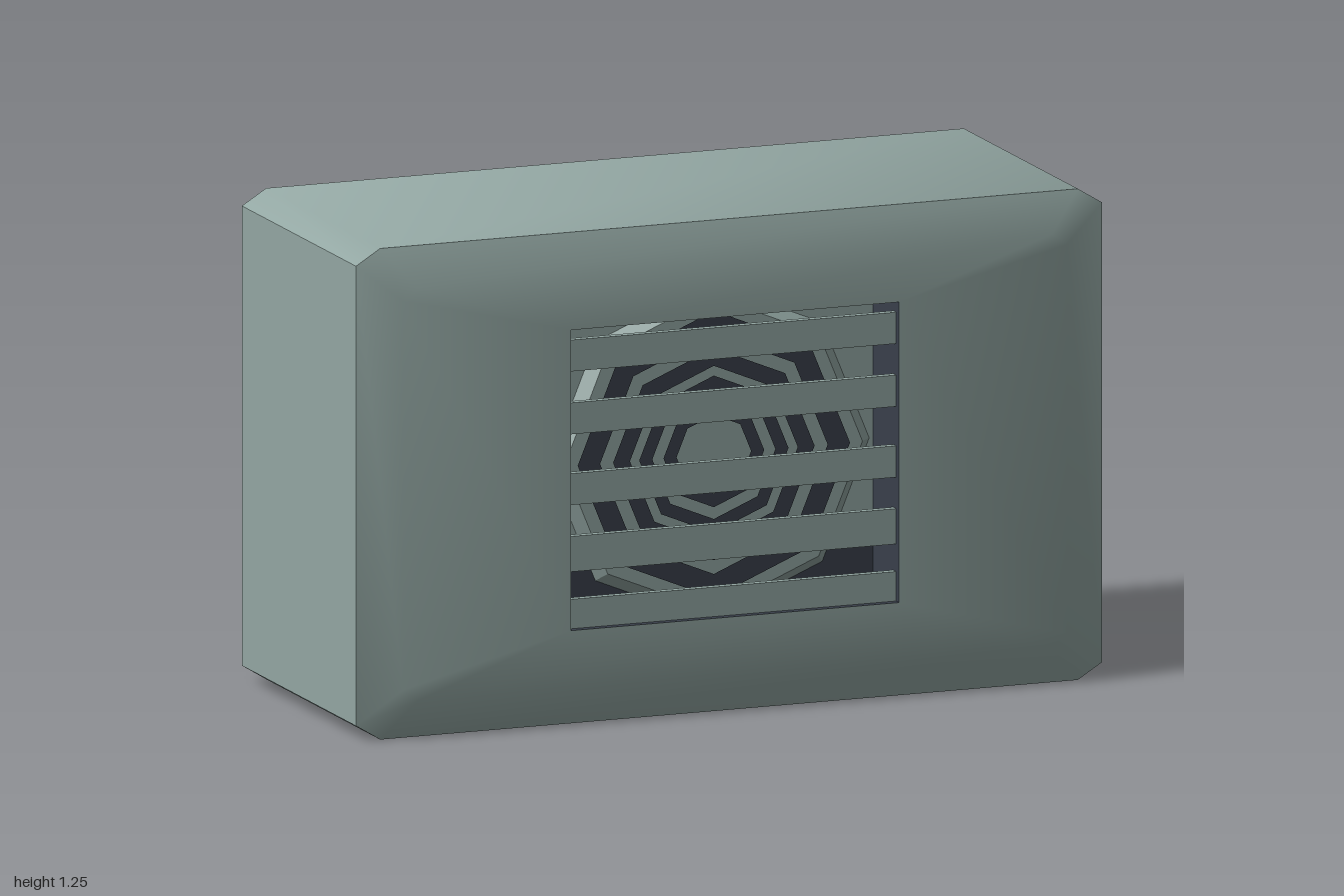
import * as THREE from 'three';
import { toCreasedNormals } from 'three/addons/utils/BufferGeometryUtils.js';

const shellMat = new THREE.MeshStandardMaterial({ color: 0x93a7a3 });
shellMat.name = 'grey green';
const darkMat = new THREE.MeshStandardMaterial({ color: 0x393f4b });
darkMat.name = 'dark slate';

// Rectangle with cut corners, anticlockwise seen from the front
function outline(hx, y0, y1, cx, cy, z) {
  return [
    [hx, y0 + cy], [hx, y1 - cy], [hx - cx, y1], [-hx + cx, y1],
    [-hx, y1 - cy], [-hx, y0 + cy], [-hx + cx, y0], [hx - cx, y0],
  ].map(([x, y]) => new THREE.Vector3(x, y, z));
}

// Skin over a series of outlines
function skin(loops, crease) {
  const pos = [];
  const tri = (a, b, c) => {
    const area = b.clone().sub(a).cross(c.clone().sub(a)).length();
    if (area > 1e-7) for (const p of [a, b, c]) pos.push(p.x, p.y, p.z);
  };
  for (let k = 0; k + 1 < loops.length; k++) {
    const a = loops[k], b = loops[k + 1];
    for (let i = 0; i < 8; i++) {
      const j = (i + 1) % 8;
      tri(a[i], a[j], b[j]);
      tri(a[i], b[j], b[i]);
    }
  }
  const g = new THREE.BufferGeometry();
  g.setAttribute('position', new THREE.Float32BufferAttribute(pos, 3));
  g.computeVertexNormals();
  return toCreasedNormals(g, crease);
}

export function createModel() {
  const model = new THREE.Group();
  model.name = 'ventilatedBox';
  const add = (name, geometry, material, x = 0, y = 0, z = 0, parent = model) => {
    const mesh = new THREE.Mesh(geometry, material);
    mesh.name = name;
    mesh.position.set(x, y, z);
    parent.add(mesh);
    return mesh;
  };

  // Casing with a window in the front
  const rimBack = outline(1, 0, 1.25, 0.065, 0.04, -0.38);
  const window = outline(0.44, 0.245, 1.01, 0, 0, 0.42);
  const windowBack = outline(0.44, 0.245, 1.01, 0, 0, 0.24);
  add('casing', skin([
    rimBack,
    outline(1, 0, 1.25, 0.065, 0.04, 0.38),
    outline(0.89, 0.1, 1.15, 0.04, 0.03, 0.42),
    window,
  ], 0.6), shellMat);
  add('backPanel', skin([
    outline(0, 0.625, 0.625, 0, 0, -0.42),
    outline(0.935, 0.04, 1.21, 0.04, 0.03, -0.42),
    rimBack,
  ], 0.3), darkMat);
  add('windowWalls', skin([window, windowBack], 0.3), darkMat);

  // Wall behind the slats, dark along the bottom
  add('innerWall', new THREE.BoxGeometry(0.88, 0.62, 0.01), shellMat, 0, 0.70, 0.24);
  add('innerWallBase', new THREE.BoxGeometry(0.88, 0.145, 0.01), darkMat, 0, 0.3175, 0.24);

  // Eight-sided grille with alternating rings
  const grille = new THREE.Group();
  grille.name = 'grille';
  grille.position.set(0, 0.63, 0);
  model.add(grille);
  const base = new THREE.CylinderGeometry(0.40, 0.43, 0.03, 8).rotateX(Math.PI / 2);
  add('grilleBase', toCreasedNormals(base, 0.3), shellMat, 0, 0, 0.26, grille);
  const rings = [[0.305, 0.365], [0.225, 0.27], [0.165, 0.2], [0.1, 0.135]];
  for (const [inner, outer] of rings) {
    add('grilleRing', new THREE.RingGeometry(inner, outer, 8), darkMat, 0, 0, 0.279, grille);
  }

  // Horizontal slats, slightly recessed
  const slats = [[0.245, 0.32], [0.39, 0.48], [0.56, 0.64], [0.74, 0.82], [0.90, 0.98]];
  for (const [y0, y1] of slats) {
    add('slat', new THREE.BoxGeometry(0.88, y1 - y0, 0.02), shellMat, 0, (y0 + y1) / 2, 0.39);
  }
  return model;
}
